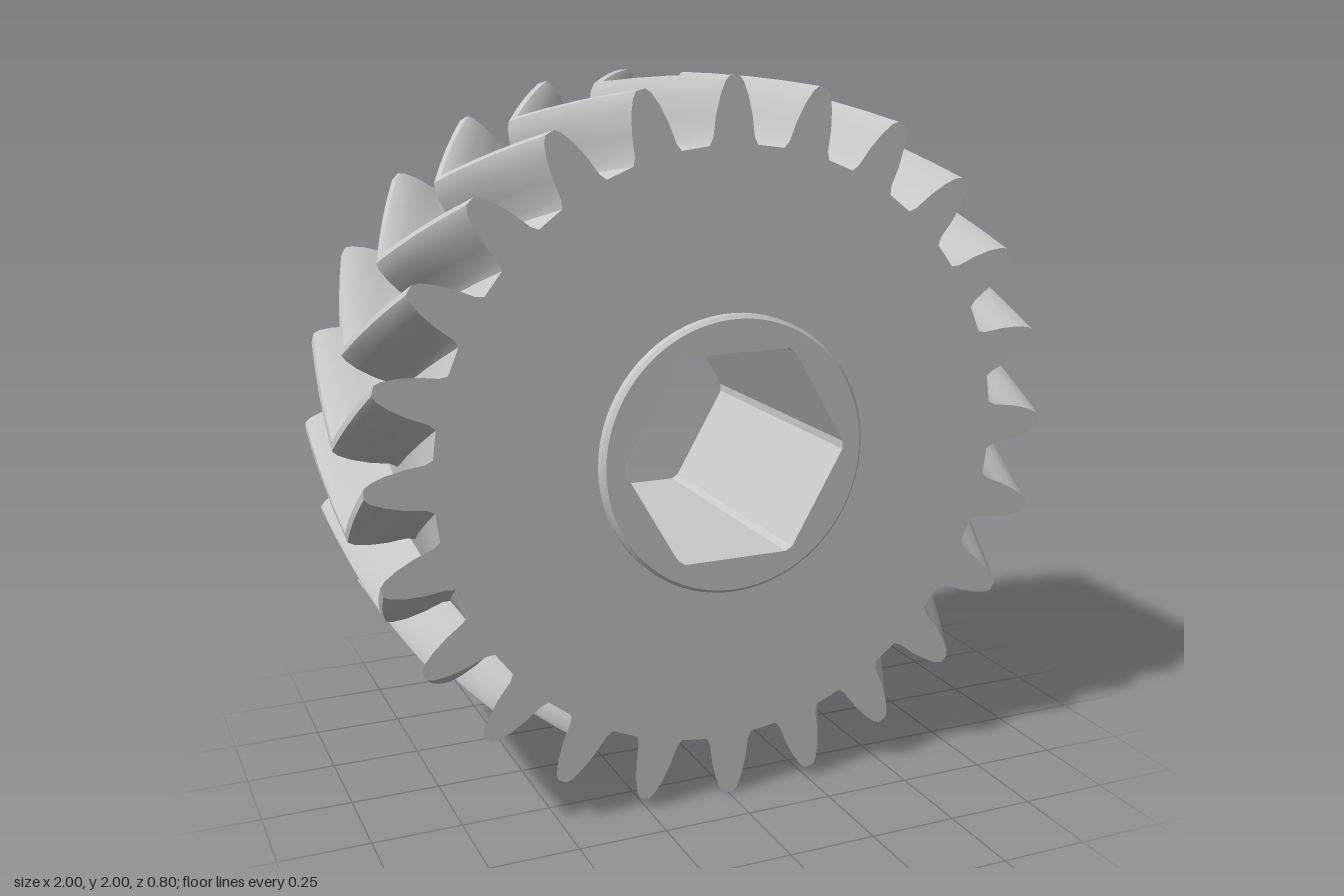
import * as THREE from 'three';
import { toCreasedNormals } from 'three/addons/utils/BufferGeometryUtils.js';

const TEETH = 24;
const BACK = -0.4, FRONT = 0.365, HUB_FRONT = 0.4, FLOOR = -0.1;
const HUB_RADIUS = 0.375;
const TWIST = 0.23; // herringbone lead in radians, end to middle

// Half tooth: radius and half angle, root to tip
const TOOTH = [[0.825, 0.084], [0.845, 0.07], [0.9, 0.058], [0.95, 0.042], [0.985, 0.026], [1.0, 0.013]];

function gearShape() {
  const points = [];
  for (let i = 0; i < TEETH; i++) {
    const mid = (i / TEETH) * Math.PI * 2;
    const add = (r, a) => points.push(new THREE.Vector2(r * Math.cos(mid + a), r * Math.sin(mid + a)));
    TOOTH.forEach(([r, a]) => add(r, -a));
    [...TOOTH].reverse().forEach(([r, a]) => add(r, a));
  }
  const shape = new THREE.Shape(points);
  shape.holes.push(new THREE.Path().absarc(0, 0, 0.78, 0, Math.PI * 2, true));
  return shape;
}

function toothedRing() {
  const depth = FRONT - BACK;
  const geo = new THREE.ExtrudeGeometry(gearShape(), { depth, steps: 8, bevelEnabled: false, curveSegments: 36 });
  // Turn each slice: most in the middle, none at both ends
  const p = geo.attributes.position;
  for (let i = 0; i < p.count; i++) {
    const a = TWIST * (1 - Math.abs(p.getZ(i) / depth - 0.5) * 2);
    const x = p.getX(i), y = p.getY(i);
    p.setXY(i, x * Math.cos(a) - y * Math.sin(a), x * Math.sin(a) + y * Math.cos(a));
  }
  geo.translate(0, 0, BACK);
  return toCreasedNormals(geo, 0.5);
}

// Turned surface about the z axis from [radius, z] pairs
function turned(profile) {
  const geo = new THREE.LatheGeometry(profile.map(([r, z]) => new THREE.Vector2(r, z)), 72);
  geo.rotateX(Math.PI / 2);
  return toCreasedNormals(geo, 0.5);
}

// Round sleeve with a hexagonal bore, its corners slightly blunted
function boredSleeve() {
  const shape = new THREE.Shape().absarc(0, 0, HUB_RADIUS, 0, Math.PI * 2, false);
  const blunt = 0.035;
  const r = 0.285 / Math.cos(Math.PI / 6 - blunt);
  const hex = [];
  for (let i = 0; i < 6; i++) {
    for (const d of [blunt, -blunt]) {
      const a = d - (i * Math.PI) / 3;
      hex.push(new THREE.Vector2(r * Math.cos(a), r * Math.sin(a)));
    }
  }
  shape.holes.push(new THREE.Path(hex));
  const geo = new THREE.ExtrudeGeometry(shape, { depth: HUB_FRONT - BACK, bevelEnabled: false, curveSegments: 72 });
  geo.translate(0, 0, BACK);
  return geo;
}

export function createModel() {
  const group = new THREE.Group();
  group.name = 'herringboneGear';
  const grey = new THREE.MeshStandardMaterial({ color: 0xc8c8c8 });
  grey.name = 'grey';

  const add = (name, geo) => {
    const mesh = new THREE.Mesh(geo, grey);
    mesh.name = name;
    mesh.position.y = 1;
    group.add(mesh);
    return mesh;
  };

  add('toothedRing', toothedRing());

  // Recess in the back with a conical hub
  add('backRecess', turned([[HUB_RADIUS, BACK], [0.64, FLOOR], [0.74, FLOOR], [0.76, BACK], [0.78, BACK]]));

  // Flat front disc rising into a low collar
  add('frontDisc', turned([[0.78, FRONT], [0.385, FRONT], [0.385, 0.39], [HUB_RADIUS, HUB_FRONT]]));

  add('hexBore', boredSleeve());

  // Single rib from hub to rim
  const ribDepth = FLOOR - BACK;
  const rib = add('rib', new THREE.BoxGeometry(0.42, 0.11, ribDepth));
  rib.position.set(0.56, 1, BACK + ribDepth / 2 + 0.002);

  return group;
}
